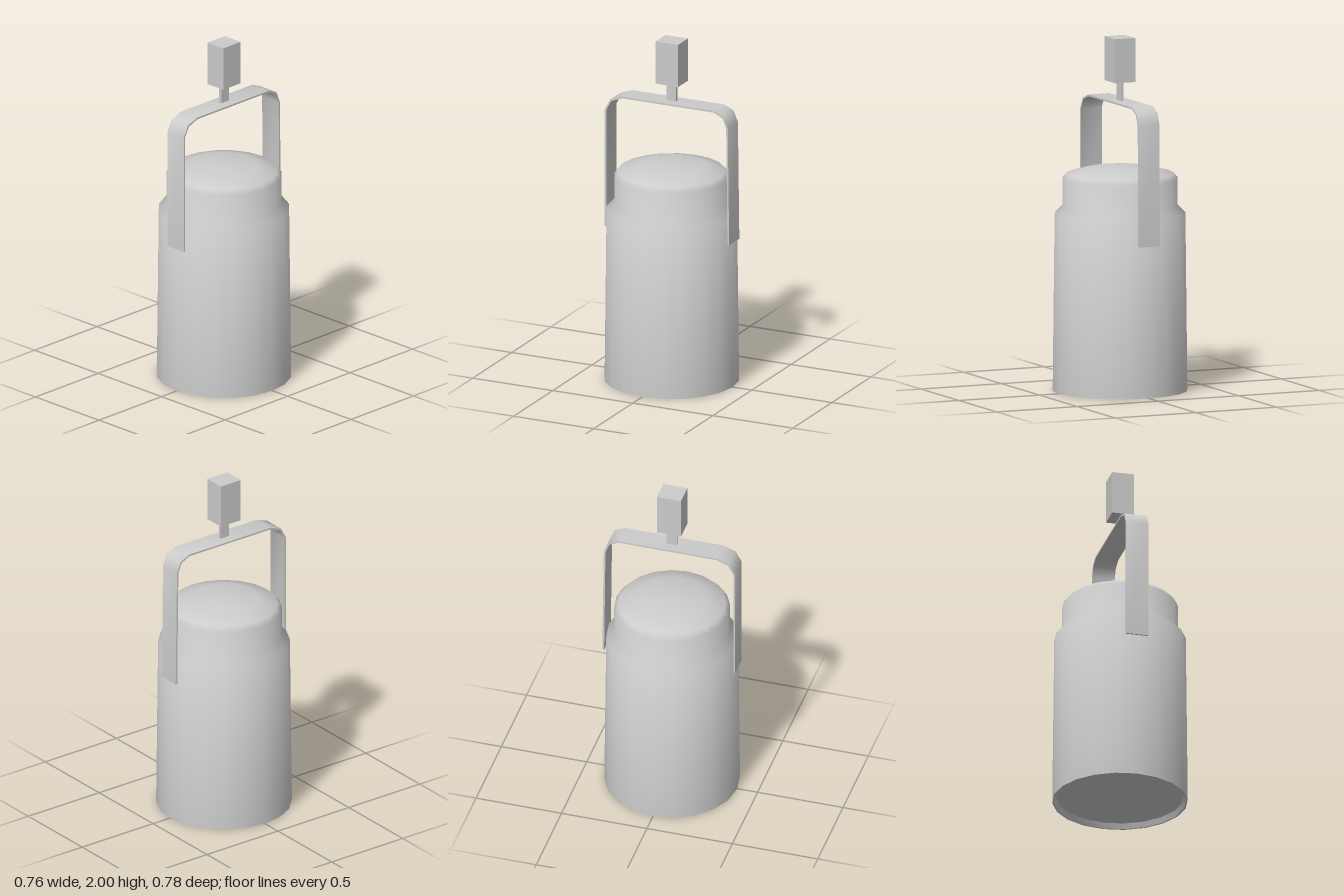
import * as THREE from 'three';
import { toCreasedNormals } from 'three/addons/utils/BufferGeometryUtils.js';

export function createModel() {
  const model = new THREE.Group();
  const material = new THREE.MeshStandardMaterial({ color: 0xcccccc });
  const add = (name, geometry, parent = model) => {
    const mesh = new THREE.Mesh(geometry, material);
    mesh.name = name;
    parent.add(mesh);
    return mesh;
  };
  const points = list => list.map(([a, b]) => new THREE.Vector2(a, b));

  // Canister: recessed base, tapering wall, shoulder, neck and domed top
  const profile = points([
    [0, 0.03], [0.36, 0.03], [0.372, 0], [0.381, 0], [0.381, 0.015],
    [0.37, 1.0], [0.326, 1.045], [0.326, 1.2], [0.302, 1.228],
    [0.2, 1.256], [0.1, 1.268], [0, 1.276],
  ]);
  add('canister', toCreasedNormals(new THREE.LatheGeometry(profile, 20), 0.9));

  // Strap handle: outer outline in (z, y), then the inner outline back again
  const strap = new THREE.Shape(points([
    [0.388, 0.86], [0.388, 1.55], [0.353, 1.615], [0.28, 1.642],
    [-0.295, 1.642], [-0.355, 1.615], [-0.381, 1.55], [-0.39, 0.86],
    [-0.379, 0.86], [-0.371, 1.548], [-0.348, 1.606], [-0.293, 1.632],
    [0.278, 1.632], [0.346, 1.606], [0.378, 1.548], [0.378, 0.86],
  ]));
  const strapGeometry = new THREE.ExtrudeGeometry(strap, { depth: 0.13, bevelEnabled: false });
  strapGeometry.rotateY(-Math.PI / 2).translate(0.065, 0, 0);
  add('strapHandle', toCreasedNormals(strapGeometry, 0.9));

  // Hanger: thin stem carrying a square block
  const hanger = new THREE.Group();
  hanger.name = 'hanger';
  model.add(hanger);
  add('hangerStem', new THREE.BoxGeometry(0.016, 0.12, 0.06), hanger).position.y = 1.695;
  add('hangerBlock', new THREE.BoxGeometry(0.126, 0.25, 0.14), hanger).position.y = 1.875;

  return model;
}
